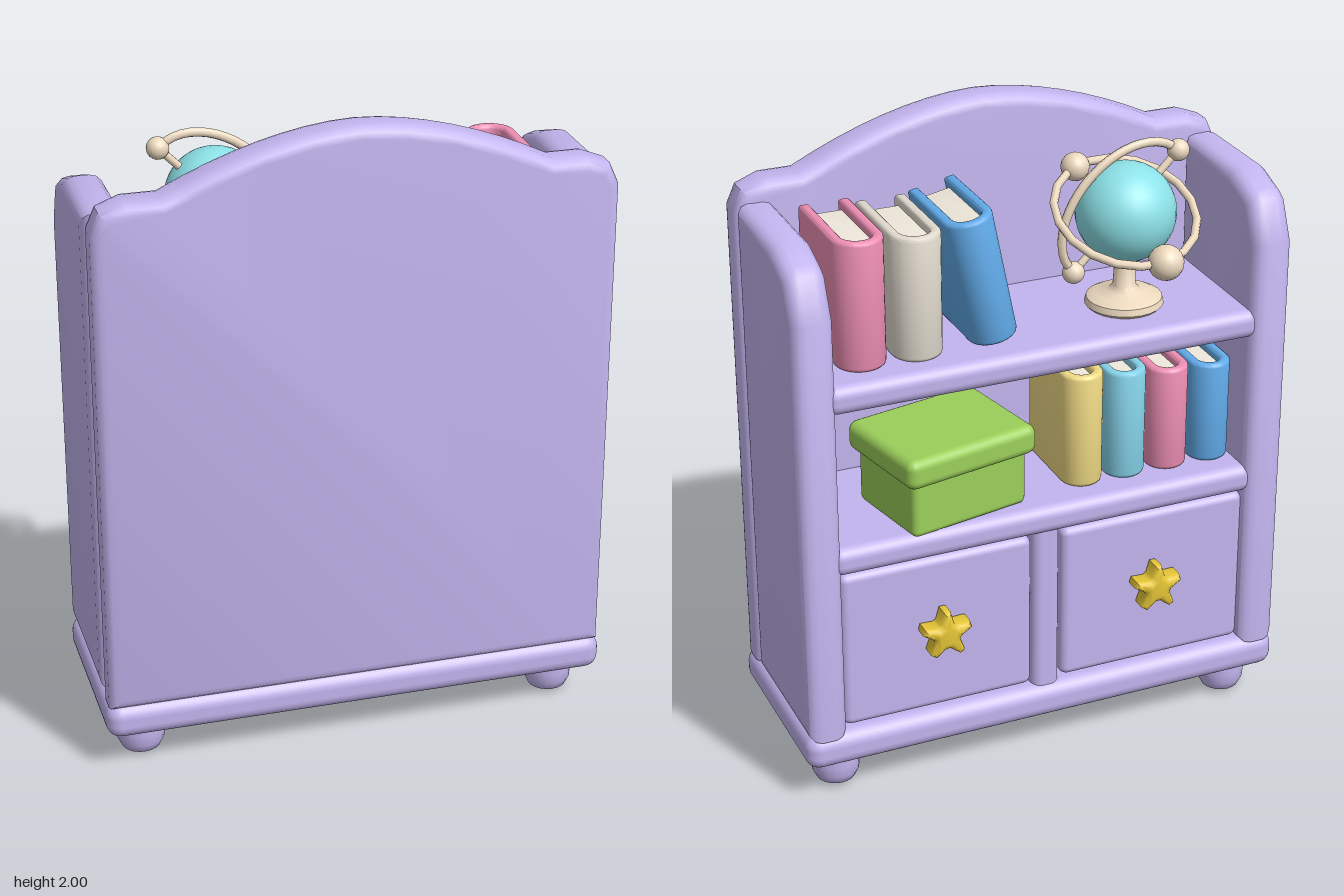
import * as THREE from 'three';
import { RoundedBoxGeometry } from 'three/addons/geometries/RoundedBoxGeometry.js';
import { toCreasedNormals } from 'three/addons/utils/BufferGeometryUtils.js';

const mat = (color) => new THREE.MeshStandardMaterial({ color });
const LILAC = mat(0xc3b5ef), BLUE = mat(0x62aceb), PINK = mat(0xee8fb4), IVORY = mat(0xe2dbcf);
const PAPER = mat(0xf0e9dc), GREEN = mat(0x9bcf5a), GOLD = mat(0xe6c637), AQUA = mat(0x8de2e8);
const CREAM = mat(0xecd9bf), YELLOW = mat(0xf0db85), SKY = mat(0x86d3ea);

function add(parent, name, geometry, material, x = 0, y = 0, z = 0) {
  const mesh = new THREE.Mesh(geometry, material);
  mesh.name = name;
  mesh.position.set(x, y, z);
  parent.add(mesh);
  return mesh;
}

// Rounded box given by its extents
function block(parent, name, material, [x0, x1], [y0, y1], [z0, z1], r) {
  const g = new RoundedBoxGeometry(x1 - x0, y1 - y0, z1 - z0, 3, r);
  return add(parent, name, g, material, (x0 + x1) / 2, (y0 + y1) / 2, (z0 + z1) / 2);
}

// Extrusion of total depth d from z = 0, with edges rounded inside the outline
function slab(shape, d, bevel, curveSegments = 8) {
  const g = new THREE.ExtrudeGeometry(shape, {
    depth: d - 2 * bevel, bevelThickness: bevel, bevelSize: bevel,
    bevelOffset: -bevel, bevelSegments: 3, curveSegments,
  });
  g.translate(0, 0, bevel);
  return toCreasedNormals(g, 0.75);
}

const polygon = (pts) => new THREE.Shape(pts.map(([x, y]) => new THREE.Vector2(x, y)));

// Book plan: straight sides, round spine at +y, open fore-edge at y = 0
function archPath(path, w, len) {
  const r = w / 2;
  path.moveTo(r, 0);
  path.lineTo(r, len - r);
  path.absarc(0, len - r, r, 0, Math.PI, false);
  path.lineTo(-r, 0);
  return path;
}

function book(parent, name, material, w, h, len, x, y, zBack) {
  const t = 0.033, group = new THREE.Group();
  group.name = name;
  group.position.set(x, y, zBack);
  const cover = archPath(new THREE.Shape(), w, len), r = w / 2 - t;
  cover.lineTo(-r, 0);
  cover.lineTo(-r, len - w / 2);
  cover.absarc(0, len - w / 2, r, Math.PI, 0, true);
  cover.lineTo(r, 0);
  add(group, 'bookCover', slab(cover, h, 0.012).rotateX(-Math.PI / 2), material);
  const pages = archPath(new THREE.Shape(), w - 2 * t + 0.006, len - t - 0.03);
  add(group, 'bookPages', slab(pages, h - 0.04, 0.006).rotateX(-Math.PI / 2), PAPER, 0, 0.015, -0.025);
  parent.add(group);
  return group;
}

function buildCabinet(root) {
  block(root, 'basePlinth', LILAC, [-0.79, 0.79], [0.12, 0.235], [-0.29, 0.33], 0.045);

  const foot = [[0, 0], [0.035, 0.003], [0.06, 0.018], [0.073, 0.045], [0.076, 0.08], [0.076, 0.15]];
  const footGeo = new THREE.LatheGeometry(foot.map(([x, y]) => new THREE.Vector2(x, y)), 20);
  for (const x of [-0.665, 0.665]) for (const z of [-0.16, 0.185]) add(root, 'foot', footGeo, LILAC, x, 0, z);

  // Back panel with shoulders and an arched crest
  const right = [[0.78, 0.225], [0.78, 1.75], [0.752, 1.812], [0.68, 1.84], [0.575, 1.84]];
  const crest = [];
  for (let i = 1; i < 16; i++) {
    const x = 0.575 * (1 - i / 8);
    crest.push([x, 2 - 0.16 * Math.pow(Math.abs(x) / 0.575, 1.8)]);
  }
  const left = right.map(([x, y]) => [-x, y]).reverse();
  add(root, 'backPanel', slab(polygon([...right, ...crest, ...left]), 0.125, 0.035), LILAC, 0, 0, 0.205);

  // Side panels with a sloped upper corner (profile drawn as -z, y)
  const side = polygon([[-0.21, 0.225], [0.29, 0.225], [0.29, 1.6], [0.235, 1.725], [0.2, 1.745], [0.1, 1.78], [-0.21, 1.78]]);
  const sideGeo = slab(side, 0.125, 0.04).rotateY(Math.PI / 2);
  add(root, 'sidePanel', sideGeo, LILAC, 0.66);
  add(root, 'sidePanel', sideGeo, LILAC, -0.785);

  for (const y of [0.77, 1.295]) block(root, 'shelf', LILAC, [-0.69, 0.69], [y, y + 0.09], [-0.28, 0.23], 0.035);

  // Drawers with star knobs
  block(root, 'drawerDivider', LILAC, [-0.045, 0.045], [0.2, 0.8], [-0.265, 0.22], 0.03);
  const star = [];
  for (let i = 0; i < 10; i++) {
    const a = Math.PI / 2 + i * Math.PI / 5, r = i % 2 ? 0.045 : 0.08;
    for (const d of [-0.13, 0.13]) star.push([r * Math.cos(a + d), r * Math.sin(a + d)]);
  }
  const starGeo = slab(polygon(star), 0.075, 0.02);
  for (const s of [-1, 1]) {
    const xs = s > 0 ? [0.05, 0.665] : [-0.665, -0.05];
    block(root, 'drawer', LILAC, xs, [0.245, 0.765], [-0.265, 0.21], 0.025);
    add(root, 'starKnob', starGeo, GOLD, s * 0.35, 0.525, -0.335);
  }
}

function buildBooks(root) {
  // Upper shelf, the last one leaning on its neighbour
  book(root, 'pinkBook', PINK, 0.155, 0.4, 0.345, 0.537, 1.385, 0.135);
  book(root, 'ivoryBook', IVORY, 0.155, 0.385, 0.345, 0.363, 1.385, 0.135);
  book(root, 'leaningBook', BLUE, 0.15, 0.4, 0.345, 0.125, 1.4, 0.135).rotation.z = -0.2;
  // Lower shelf
  const row = [[YELLOW, 0.37], [SKY, 0.355], [PINK, 0.34], [BLUE, 0.33]];
  row.forEach(([m, h], i) => book(root, 'smallBook', m, 0.132, h, 0.3, -0.165 - i * 0.143, 0.86, 0.1));
}

function buildBox(root) {
  const group = new THREE.Group();
  group.name = 'storageBox';
  group.position.set(0.275, 0.86, -0.105);
  group.rotation.y = 0.2;
  block(group, 'boxBody', GREEN, [-0.2, 0.2], [0, 0.19], [-0.155, 0.155], 0.02);
  block(group, 'boxLid', GREEN, [-0.225, 0.225], [0.17, 0.265], [-0.18, 0.18], 0.03);
  root.add(group);
}

function buildGlobe(root) {
  const group = new THREE.Group();
  group.name = 'globe';
  group.position.set(-0.335, 1.685, -0.067);
  add(group, 'globeSphere', new THREE.SphereGeometry(0.152, 28, 20), AQUA);

  // Foot and stem
  const foot = [[0, -0.305], [0.105, -0.305], [0.12, -0.29], [0.115, -0.27], [0.09, -0.257], [0.05, -0.25],
    [0.035, -0.235], [0.03, -0.14], [0, -0.14]];
  add(group, 'globeStand', toCreasedNormals(
    new THREE.LatheGeometry(foot.map(([x, y]) => new THREE.Vector2(x, y)), 24), 0.8), CREAM);

  // Tilted orbit ring carrying two beads
  const orbit = new THREE.Group();
  orbit.name = 'orbit';
  orbit.rotation.x = -0.46;
  add(orbit, 'orbitRing', new THREE.TorusGeometry(0.217, 0.013, 8, 18).rotateX(Math.PI / 2), CREAM);
  add(orbit, 'orbitBead', new THREE.SphereGeometry(0.054, 18, 14), CREAM, -0.04, 0, -0.215);
  add(orbit, 'orbitBead', new THREE.SphereGeometry(0.044, 18, 14), CREAM, 0.083, 0, 0.202);
  group.add(orbit);

  // Meridian arm from pole to pole
  const pts = [];
  for (let i = 0; i <= 12; i++) {
    const a = Math.PI * i / 12;
    pts.push(new THREE.Vector3(0.17 * Math.sin(a), 0.238 * Math.cos(a), 0));
  }
  const meridian = new THREE.Group();
  meridian.name = 'meridian';
  meridian.rotation.z = Math.PI / 4;
  add(meridian, 'meridianArm', new THREE.TubeGeometry(new THREE.CatmullRomCurve3(pts), 24, 0.014, 8), CREAM);
  add(meridian, 'poleAxle', new THREE.CylinderGeometry(0.012, 0.012, 0.47, 10), CREAM);
  for (const y of [-0.238, 0.238]) add(meridian, 'poleBead', new THREE.SphereGeometry(0.034, 16, 12), CREAM, 0, y, 0);
  group.add(meridian);
  root.add(group);
}

export function createModel() {
  const root = new THREE.Group();
  root.name = 'bookcase';
  buildCabinet(root);
  buildBooks(root);
  buildBox(root);
  buildGlobe(root);
  return root;
}
